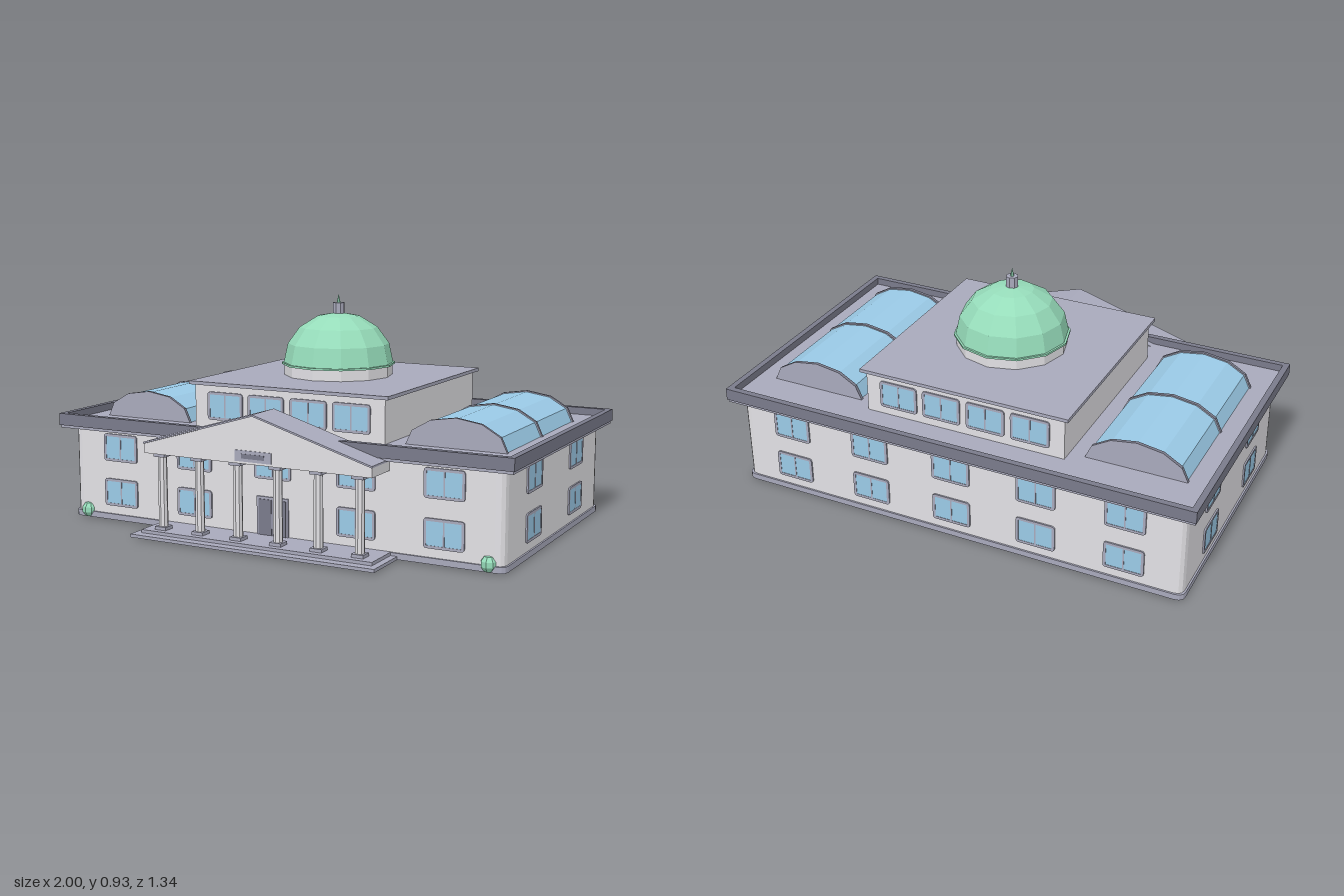
import * as THREE from 'three';

const mat = (name, color) => { const m = new THREE.MeshStandardMaterial({ color }); m.name = name; return m; };

// Rounded (or square) rectangle outline centred on cx, cy
function rect(w, h, r = 0, cx = 0, cy = 0, Type = THREE.Shape) {
  const s = new Type(), x = w / 2, y = h / 2;
  s.moveTo(cx - x + r, cy - y);
  s.lineTo(cx + x - r, cy - y);
  if (r) s.quadraticCurveTo(cx + x, cy - y, cx + x, cy - y + r);
  s.lineTo(cx + x, cy + y - r);
  if (r) s.quadraticCurveTo(cx + x, cy + y, cx + x - r, cy + y);
  s.lineTo(cx - x + r, cy + y);
  if (r) s.quadraticCurveTo(cx - x, cy + y, cx - x, cy + y - r);
  s.lineTo(cx - x, cy - y + r);
  if (r) s.quadraticCurveTo(cx - x, cy - y, cx - x + r, cy - y);
  return s;
}
const extrude = (shape, depth, curveSegments = 3) =>
  new THREE.ExtrudeGeometry(shape, { depth, bevelEnabled: false, curveSegments });
// Upright slab from a plan outline
const slab = (shape, y0, y1, z) => extrude(shape, y1 - y0).rotateX(-Math.PI / 2).translate(0, y0, z);
const box = (x0, x1, y0, y1, z0, z1) => new THREE.BoxGeometry(x1 - x0, y1 - y0, z1 - z0)
  .translate((x0 + x1) / 2, (y0 + y1) / 2, (z0 + z1) / 2);
function flat(geo) {
  const g = geo.index ? geo.toNonIndexed() : geo;
  g.computeVertexNormals();
  return g;
}
const polygon = pts => new THREE.Shape(pts.map(p => new THREE.Vector2(...p)));

export function createModel() {
  const wall = mat('wall stone', 0xe2e1e5), trim = mat('grey trim', 0xa9aabc);
  const dark = mat('dark grey', 0x7a7b8b), glass = mat('glass blue', 0x9dcdea);
  const green = mat('copper green', 0x96dcba);
  const model = new THREE.Group();
  model.name = 'domedHall';
  const add = (name, geo, material, parent = model) => {
    const m = new THREE.Mesh(geo, material);
    m.name = name;
    parent.add(m);
    return m;
  };
  const CZ = -0.08;

  // Main block, plinth band, cornice, roof deck and parapet
  add('mainWalls', slab(rect(1.906, 1.096, 0.035), 0, 0.38, CZ), wall);
  const band = rect(1.92, 1.11, 0.035);
  band.holes.push(rect(1.9, 1.09, 0.035, 0, 0, THREE.Path));
  add('plinth', slab(band, 0.001, 0.025, CZ), trim);
  add('cornice', slab(rect(1.99, 1.17), 0.375, 0.388, CZ), trim);
  add('roofDeck', slab(rect(1.96, 1.14), 0.386, 0.405, CZ), trim);
  const ring = rect(2, 1.18);
  ring.holes.push(rect(1.95, 1.13, 0, 0, 0, THREE.Path));
  add('parapet', slab(ring, 0.386, 0.435, CZ), dark);

  // Upper storey
  add('upperWalls', box(-0.425, 0.425, 0.4, 0.58, -0.515, 0.355), wall);
  add('upperRoof', box(-0.445, 0.445, 0.578, 0.592, -0.533, 0.373), trim);

  // Windows: thin frame with two openings, one pane behind
  const frameShape = rect(0.163, 0.114, 0.014);
  for (const s of [-1, 1]) frameShape.holes.push(rect(0.067, 0.092, 0, s * 0.0365, 0, THREE.Path));
  const frameGeo = extrude(frameShape, 0.007);
  const paneGeo = new THREE.BoxGeometry(0.146, 0.098, 0.004).translate(0, 0, 0.0035);
  function addWindow(x, y, z, turn) {
    const g = new THREE.Group();
    g.name = 'window';
    add('windowFrame', frameGeo, trim, g);
    add('windowPane', paneGeo, glass, g);
    g.position.set(x, y, z);
    g.rotation.y = turn;
    model.add(g);
  }
  for (const y of [0.117, 0.305]) {
    for (const x of [-0.72, -0.36, 0, 0.36, 0.72]) {
      if (x !== 0 || y > 0.2) addWindow(x, y, 0.467, 0);
      addWindow(x, y, -0.627, Math.PI);
    }
    for (const s of [-1, 1]) for (const z of [0.167, -0.325]) addWindow(s * 0.952, y, z, s * Math.PI / 2);
  }
  for (const x of [-0.283, -0.095, 0.095, 0.283]) {
    addWindow(x, 0.495, 0.354, 0);
    addWindow(x, 0.495, -0.514, Math.PI);
  }

  // Drum, dome and finial
  const dome = new THREE.Group();
  dome.name = 'dome';
  dome.position.z = CZ;
  model.add(dome);
  add('drum', flat(new THREE.CylinderGeometry(0.225, 0.225, 0.055, 12).translate(0, 0.615, 0)), wall, dome);
  add('domeRing', flat(new THREE.CylinderGeometry(0.236, 0.236, 0.008, 12).translate(0, 0.64, 0)), green, dome);
  add('domeShell', flat(new THREE.SphereGeometry(0.228, 12, 4, 0, Math.PI * 2, 0, Math.PI / 2)
    .scale(1, 0.92, 1).translate(0, 0.642, 0)), green, dome);
  add('finialBase', flat(new THREE.CylinderGeometry(0.025, 0.025, 0.05, 8).translate(0, 0.866, 0)), trim, dome);
  add('finialSpike', flat(new THREE.ConeGeometry(0.008, 0.036, 6).translate(0, 0.908, 0)), green, dome);

  // Barrel skylights with dark ribs
  const arch = (rx, ry) => polygon([90, 60, 30, 0, -30, -60, -90].map(a => {
    const t = a * Math.PI / 180;
    return [rx * Math.sin(t), ry * Math.cos(t)];
  }));
  const vault = extrude(arch(0.2, 0.114), 0.77), rib = extrude(arch(0.206, 0.119), 0.014);
  for (const s of [-1, 1]) {
    const g = new THREE.Group();
    g.name = 'skylight';
    g.position.set(s * 0.692, 0.402, -0.465);
    add('skylightVault', vault, [trim, glass], g);
    for (const z of [-0.002, 0.378, 0.758]) add('skylightRib', rib, [trim, dark], g).position.z = z;
    model.add(g);
  }

  // Portico: steps, columns, pediment and its roof
  add('lowerStep', box(-0.535, 0.535, 0, 0.013, 0.469, 0.67), trim);
  add('upperStep', box(-0.508, 0.508, 0.012, 0.026, 0.469, 0.632), trim);
  const shaft = flat(new THREE.CylinderGeometry(0.018, 0.019, 0.3, 8).translate(0, 0.18, 0));
  const block = new THREE.BoxGeometry(0.05, 0.014, 0.05);
  for (const x of [-0.435, -0.262, -0.088, 0.088, 0.262, 0.435]) {
    const g = new THREE.Group();
    g.name = 'column';
    g.position.set(x, 0, 0.582);
    add('columnShaft', shaft, wall, g);
    add('columnBase', block, trim, g).position.y = 0.032;
    add('columnCapital', block, trim, g).position.y = 0.327;
    model.add(g);
  }
  add('pediment', extrude(polygon([[-0.498, 0.333], [0.498, 0.333], [0.498, 0.37], [0, 0.518], [-0.498, 0.37]]), 0.157)
    .translate(0, 0, 0.458), wall);
  add('pedimentRoof', extrude(polygon([[-0.5, 0.37], [0, 0.518], [0.5, 0.37], [0.5, 0.377], [0, 0.525], [-0.5, 0.377]]), 0.163)
    .translate(0, 0, 0.457), trim);
  add('pedimentPlaque', box(-0.08, 0.08, 0.342, 0.385, 0.61, 0.618), trim);
  add('plaqueInset', box(-0.05, 0.05, 0.354, 0.372, 0.614, 0.6195), dark);

  // Double entrance door
  add('doorFrame', box(-0.07, 0.07, 0.02, 0.178, 0.46, 0.474), trim);
  for (const s of [-1, 1]) {
    add('doorLeaf', box(s * 0.032 - 0.029, s * 0.032 + 0.029, 0.026, 0.168, 0.47, 0.477), dark);
  }
  add('doorHandle', box(0.033, 0.041, 0.07, 0.1, 0.476, 0.482), glass);

  // Corner bushes
  for (const s of [-1, 1]) {
    add('bush', flat(new THREE.SphereGeometry(0.034, 8, 5)), green).position.set(s * 0.893, 0.03, 0.459);
  }
  return model;
}
